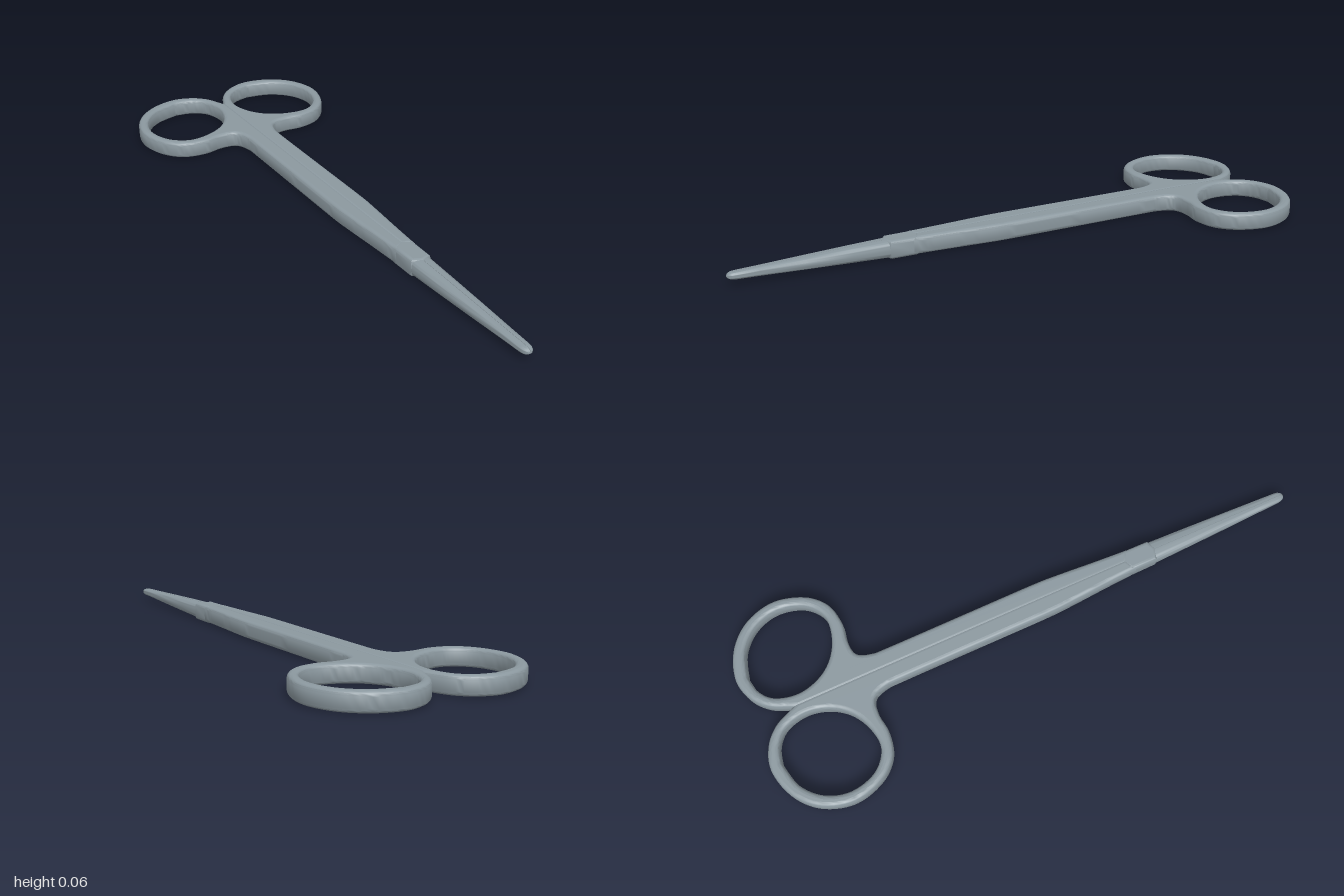
import * as THREE from 'three';
import { toCreasedNormals } from 'three/addons/utils/BufferGeometryUtils.js';

const steel = new THREE.MeshStandardMaterial({ color: 0x8b989f });
steel.name = 'steel';

// Smooth curve through [x, z] points, mirrored by side, in the extrusion plane
const smooth = (pts, side, n) =>
  new THREE.SplineCurve(pts.map(([x, z]) => new THREE.Vector2(side * x, -z))).getPoints(n);

// Extrude a plan outline between two heights with rounded edges
function slab(shape, y0, y1, round, name) {
  const extruded = new THREE.ExtrudeGeometry(shape, {
    depth: y1 - y0 - 2 * round, bevelEnabled: true, bevelThickness: round,
    bevelSize: round, bevelOffset: -round, bevelSegments: 5,
  });
  extruded.rotateX(-Math.PI / 2).translate(0, y0 + round, 0);
  const geo = toCreasedNormals(extruded, 0.6);
  // Keep the level top and bottom shaded flat
  const p = geo.attributes.position, nor = geo.attributes.normal;
  for (let i = 0; i < p.count; i += 3) {
    const ys = [p.getY(i), p.getY(i + 1), p.getY(i + 2)];
    if (Math.max(...ys) - Math.min(...ys) > 1e-6) continue;
    const up = ys[0] > (y0 + y1) / 2 ? 1 : -1;
    for (let k = 0; k < 3; k++) nor.setXYZ(i + k, 0, up, 0);
  }
  const mesh = new THREE.Mesh(geo, steel);
  mesh.name = name;
  return mesh;
}

// One shank with its finger ring; the inner edges overlap, leaving a fine seam
function handle(side, name) {
  const outer = smooth([
    [0.003, -0.865], [0.035, -0.93], [0.09, -0.977], [0.17, -0.997], [0.27, -0.967],
    [0.345, -0.895], [0.377, -0.79], [0.35, -0.685], [0.29, -0.62], [0.21, -0.6],
    [0.14, -0.608], [0.085, -0.598], [0.063, -0.55], [0.06, -0.48], [0.06, -0.2],
    [0.06, 0.05], [0.056, 0.14], [0.046, 0.28], [0.039, 0.395],
  ], side, 110);
  const inner = [[-0.009, 0.378], [-0.009, -0.84]].map(([x, z]) => new THREE.Vector2(side * x, -z));
  const outline = [...outer, ...inner];
  // Counter-clockwise outline, so the hole is turned to match
  if (THREE.ShapeUtils.isClockWise(outline)) outline.reverse();
  const shape = new THREE.Shape(outline);
  const hole = smooth([
    [0.16, -0.957], [0.25, -0.932], [0.315, -0.87], [0.34, -0.785], [0.315, -0.695],
    [0.25, -0.645], [0.17, -0.652], [0.1, -0.69], [0.055, -0.75], [0.037, -0.825],
    [0.055, -0.9], [0.1, -0.942], [0.16, -0.957],
  ], side, 72);
  hole.pop();
  shape.holes.push(new THREE.Path(hole));
  return slab(shape, 0.004, 0.066, 0.015, name);
}

// One jaw: half of a rounded-box section lofted along z, flat on the inside
function jaw(side, name) {
  // z, half width, bottom, top
  const stations = [
    [0.38, 0.037, 0.005, 0.063], [0.48, 0.036, 0.005, 0.062], [0.6, 0.032, 0.009, 0.059],
    [0.75, 0.027, 0.015, 0.054], [0.9, 0.021, 0.021, 0.049], [0.97, 0.0185, 0.023, 0.047],
    [0.984, 0.0165, 0.024, 0.046], [0.993, 0.0125, 0.027, 0.043],
    [0.998, 0.007, 0.031, 0.039], [1.0, 0.002, 0.034, 0.036],
  ];
  const n = 18, row = n + 1, pos = [], idx = [];
  for (const [z, w, y0, y1] of stations) {
    for (let i = 0; i <= n; i++) {
      const a = -Math.PI / 2 + (Math.PI * i) / n;
      const c = Math.max(0, Math.cos(a)), s = Math.sin(a);
      pos.push(side * (0.0005 + (w - 0.0005) * c ** 0.6),
        (y0 + y1) / 2 + ((y1 - y0) / 2) * Math.sign(s) * Math.abs(s) ** 0.6, z);
    }
  }
  const tri = (a, b, c) => (side > 0 ? idx.push(a, b, c) : idx.push(a, c, b));
  for (let j = 0; j < stations.length - 1; j++) {
    for (let i = 0; i < row; i++) {
      const k = (i + 1) % row, a = j * row + i, b = j * row + k;
      tri(a, b, b + row);
      tri(a, b + row, a + row);
    }
  }
  // End caps
  const last = (stations.length - 1) * row;
  for (let i = 1; i < n; i++) {
    tri(0, i + 1, i);
    tri(last, last + i, last + i + 1);
  }
  const geo = new THREE.BufferGeometry();
  geo.setAttribute('position', new THREE.Float32BufferAttribute(pos, 3));
  geo.setIndex(idx);
  const mesh = new THREE.Mesh(toCreasedNormals(geo, 0.8), steel);
  mesh.name = name;
  return mesh;
}

export function createModel() {
  const model = new THREE.Group();
  model.name = 'surgicalClamp';
  for (const [side, label] of [[1, 'left'], [-1, 'right']]) {
    model.add(handle(side, label + 'Handle'), jaw(side, label + 'Jaw'));
  }
  // Hexagonal hinge lock, pointed along the shaft at both ends
  const lock = new THREE.Shape([
    [0, 0.355], [0.0385, 0.38], [0.037, 0.475], [0, 0.492], [-0.037, 0.475], [-0.0385, 0.38],
  ].map(([x, z]) => new THREE.Vector2(x, -z)));
  model.add(slab(lock, 0.002, 0.065, 0.013, 'hingeLock'));
  return model;
}
